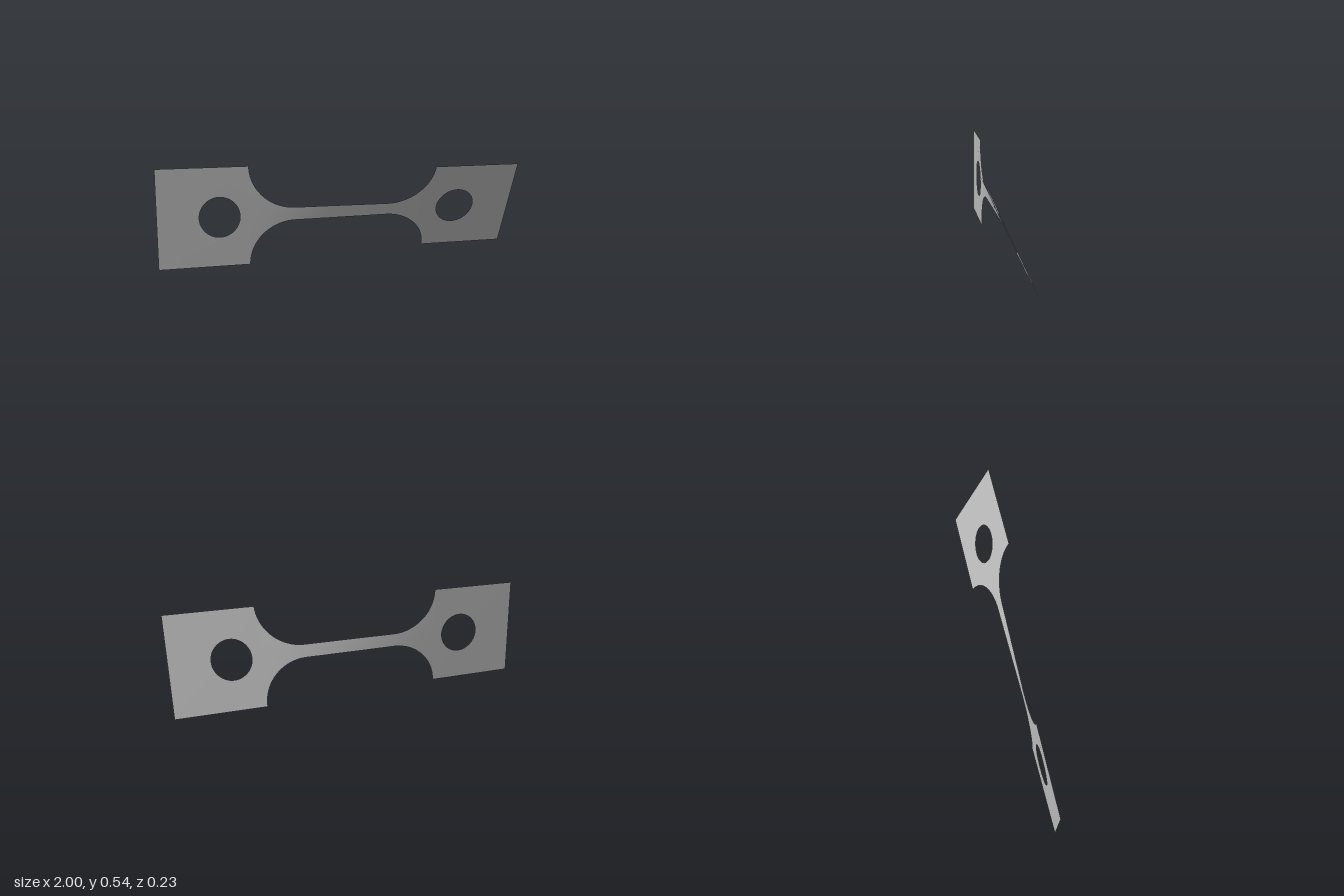
import * as THREE from 'three';

const MID = 0.271;            // height of the long axis
const HALF = 0.271;           // half height of the heads
const SHANK = 0.036;          // half height of the narrow shank
const NECK = 0.51, SHANK_END = 0.26;
const DEG = Math.PI / 180;
const START = 1 * DEG, END = 24.7 * DEG;

// Cross-sections of the neck: fillet, straight shank, fillet
function neckSections() {
  const half = [];
  const steps = 28;
  for (let i = 0; i <= steps; i++) {
    const a = (i / steps) * Math.PI / 2;
    half.push({
      x: -SHANK_END - (NECK - SHANK_END) * Math.cos(a),
      h: HALF - (HALF - SHANK) * Math.sin(a),
    });
  }
  const sections = [...half];
  for (let i = 1; i < 24; i++) sections.push({ x: -SHANK_END + (2 * SHANK_END * i) / 24, h: SHANK });
  for (const s of half.slice().reverse()) sections.push({ x: -s.x, h: s.h });

  // The narrower the section, the faster it twists
  let sum = 0;
  sections.forEach((s, i) => {
    const p = sections[i - 1];
    if (p) sum += (s.x - p.x) * 2 / (s.h + p.h);
    s.turn = sum;
  });
  for (const s of sections) s.angle = START + (END - START) * s.turn / sum;
  return sections;
}

// Turn a flat point about the long axis
function place(pos, i, x, y, angle) {
  pos.setXYZ(i, x, MID + y * Math.cos(angle), y * Math.sin(angle));
}

function neckGeometry() {
  const sections = neckSections();
  const rows = 8;
  const geo = new THREE.PlaneGeometry(1, 1, sections.length - 1, rows);
  const pos = geo.attributes.position;
  for (let i = 0; i < pos.count; i++) {
    const s = sections[i % sections.length];
    place(pos, i, s.x, pos.getY(i) * 2 * s.h, s.angle);
  }
  geo.computeVertexNormals();
  return geo;
}

// Rectangular head with a round hole
function headGeometry(x0, x1, holeX, angleAt) {
  const shape = new THREE.Shape([
    new THREE.Vector2(x0, -HALF), new THREE.Vector2(x1, -HALF),
    new THREE.Vector2(x1, HALF), new THREE.Vector2(x0, HALF),
  ]);
  const hole = new THREE.Path();
  hole.absarc(holeX, 0, 0.109, 0, Math.PI * 2, true);
  shape.holes.push(hole);
  const geo = new THREE.ShapeGeometry(shape, 32);
  const pos = geo.attributes.position;
  for (let i = 0; i < pos.count; i++) {
    const x = pos.getX(i);
    place(pos, i, x, pos.getY(i), angleAt(x));
  }
  geo.computeVertexNormals();
  return geo;
}

export function createModel() {
  const metal = new THREE.MeshStandardMaterial({ color: 0xb8b8b8, side: THREE.DoubleSide });
  metal.name = 'grey metal';
  const group = new THREE.Group();
  group.name = 'twistedTestStrip';
  const add = (name, geo) => {
    const mesh = new THREE.Mesh(geo, metal);
    mesh.name = name;
    group.add(mesh);
  };
  add('rightHead', headGeometry(-1, -NECK, -0.67, (x) => START * (x + 1) / (1 - NECK)));
  add('neck', neckGeometry());
  add('leftHead', headGeometry(NECK, 1, 0.668, () => END));
  return group;
}
